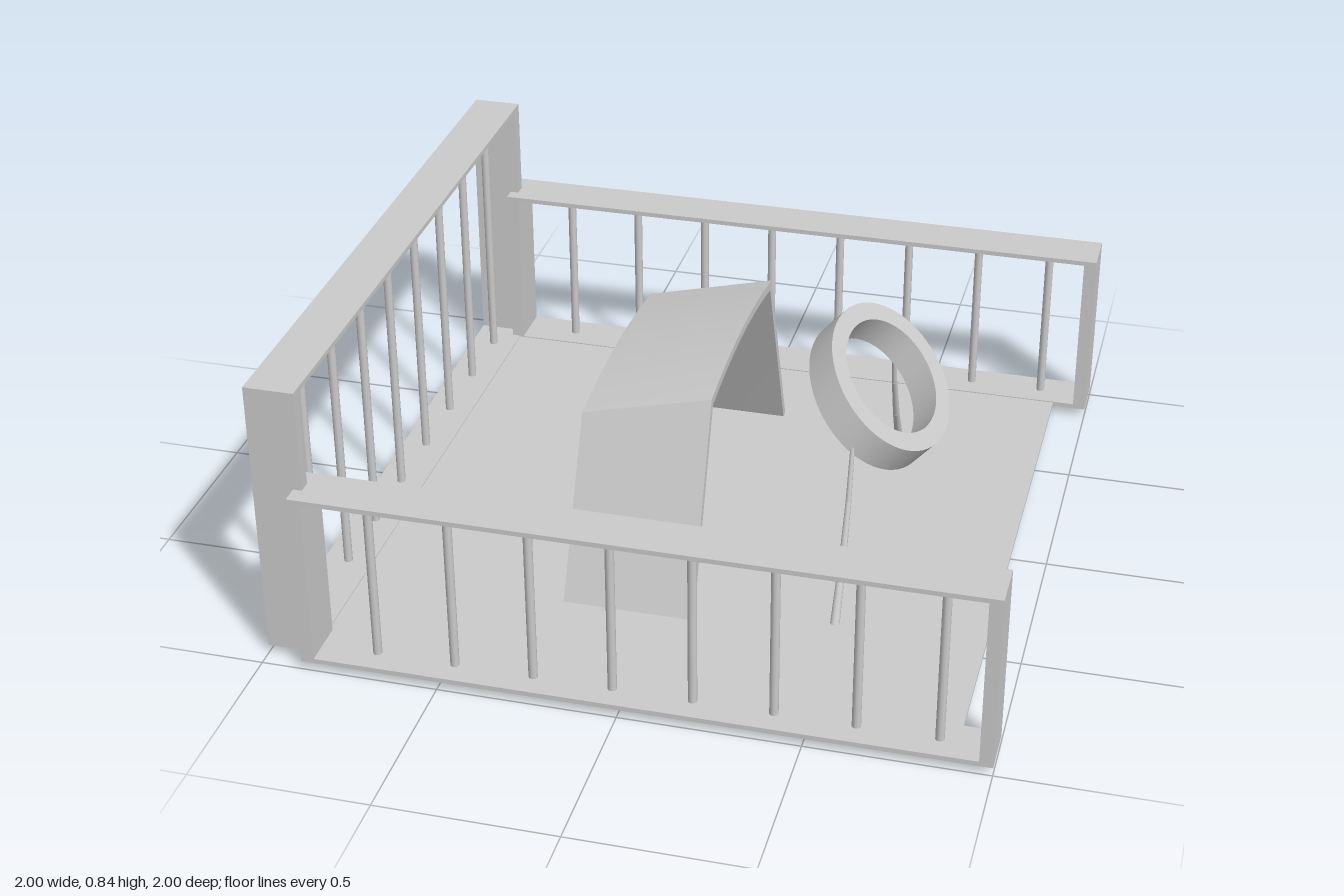
import * as THREE from 'three';
import { toCreasedNormals } from 'three/addons/utils/BufferGeometryUtils.js';

const material = new THREE.MeshStandardMaterial({ color: 0xcccccc });

function addMesh(parent, name, geometry) {
  const mesh = new THREE.Mesh(geometry, material);
  mesh.name = name;
  parent.add(mesh);
  return mesh;
}

// Round rod between two points, with its own radius at each end
function addRod(parent, name, from, to, r0, r1 = r0) {
  const dir = to.clone().sub(from);
  const rod = addMesh(parent, name, new THREE.CylinderGeometry(r1, r0, dir.length(), 10));
  rod.position.copy(from).add(to).multiplyScalar(0.5);
  rod.quaternion.setFromUnitVectors(new THREE.Vector3(0, 1, 0), dir.normalize());
  return rod;
}

// Rectangular railing frame along local x, with eight upright bars
function railing(name, length, height, firstBar, lastBar) {
  const group = new THREE.Group();
  group.name = name;
  const depth = 0.14, post = 0.037, rail = 0.014, base = 0.022;
  for (const side of [-1, 1]) {
    const p = addMesh(group, 'endPost', new THREE.BoxGeometry(post, height, depth));
    p.position.set(side * (length - post) / 2, base + height / 2, 0);
  }
  for (const y of [base + rail / 2, base + height - rail / 2]) {
    const r = addMesh(group, 'rail', new THREE.BoxGeometry(length - 2 * post, rail, depth));
    r.position.y = y;
  }
  for (let i = 0; i < 8; i++) {
    const x = THREE.MathUtils.lerp(firstBar, lastBar, i / 7);
    addRod(group, 'bar', new THREE.Vector3(x, 0.01, 0),
      new THREE.Vector3(x, base + height - 0.004, 0), 0.0125);
  }
  return group;
}

// Open tunnel: sloping legs, gently arched roof, lower towards the back
function hoodGeometry() {
  const roof = (half, y, rise, steps = 10) => Array.from({ length: steps + 1 }, (_, i) => {
    const t = -1 + 2 * i / steps;
    return new THREE.Vector2(t * half, y + rise * (1 - t * t));
  });
  const outer = [new THREE.Vector2(-0.585, 0.026), ...roof(0.36, 0.612, 0.033), new THREE.Vector2(0.585, 0.026)];
  const inner = [new THREE.Vector2(-0.56, 0.026), ...roof(0.345, 0.587, 0.033), new THREE.Vector2(0.56, 0.026)];
  const shape = new THREE.Shape([...outer, ...inner.reverse()]);
  const width = 0.37;
  const geo = new THREE.ExtrudeGeometry(shape, { depth: width, bevelEnabled: false });
  const pos = geo.attributes.position;
  for (let i = 0; i < pos.count; i++) {
    const y = pos.getY(i);
    const back = 1 - pos.getZ(i) / width;
    pos.setY(i, y - 0.095 * back * (y - 0.026) / 0.6);
  }
  geo.rotateY(Math.PI / 2);
  geo.translate(-0.275, 0, -0.012);
  geo.computeVertexNormals();
  return toCreasedNormals(geo, 0.3);
}

// Oval ring with a square-edged section
function ringGeometry() {
  const shape = new THREE.Shape().absellipse(0, 0, 0.218, 0.31, 0, Math.PI * 2);
  shape.holes.push(new THREE.Path().absellipse(0, 0, 0.166, 0.237, 0, Math.PI * 2, true));
  const geo = new THREE.ExtrudeGeometry(shape, { depth: 0.094, bevelEnabled: false, curveSegments: 32 });
  geo.translate(0, 0, -0.047);
  return toCreasedNormals(geo, 0.6);
}

export function createModel() {
  const model = new THREE.Group();

  // Floor
  const floor = addMesh(model, 'floor', new THREE.BoxGeometry(1.88, 0.01, 1.74));
  floor.position.set(-0.04, 0.028, 0);

  // Side railings
  for (const side of [-1, 1]) {
    const r = railing(side > 0 ? 'frontRailing' : 'backRailing', 1.885, 0.518, -0.7475, 0.7925);
    r.position.set(0.0575, 0, side * 0.93);
    model.add(r);
  }

  // Taller railing closing the end
  const end = railing('endRailing', 1.885, 0.811, -0.7375, 0.8025);
  end.rotation.y = Math.PI / 2;
  end.position.set(-0.93, 0, 0.0075);
  model.add(end);

  // Tunnel hood
  addMesh(model, 'hood', hoodGeometry());

  // Tilted oval ring
  const ring = addMesh(model, 'ring', ringGeometry());
  const normal = new THREE.Vector3(0.667, 0.745, 0).normalize();
  const across = new THREE.Vector3(0, 0, -1);
  const along = new THREE.Vector3().crossVectors(across, normal);
  ring.quaternion.setFromRotationMatrix(new THREE.Matrix4().makeBasis(along, across, normal));
  ring.position.set(0.4975, 0.522, 0);

  // Bent, tapering struts holding the ring
  for (const side of [-1, 1]) {
    const strut = new THREE.Group();
    strut.name = side > 0 ? 'frontStrut' : 'backStrut';
    const at = (y, z) => new THREE.Vector3(0.48, y, side * z);
    addRod(strut, 'strutFoot', at(0.004, 0.5), at(0.2, 0.395), 0.014, 0.01);
    addRod(strut, 'strutMiddle', at(0.2, 0.395), at(0.34, 0.34), 0.01, 0.008);
    addRod(strut, 'strutTop', at(0.34, 0.34), at(0.51, 0.3), 0.008, 0.006);
    model.add(strut);
  }

  return model;
}
